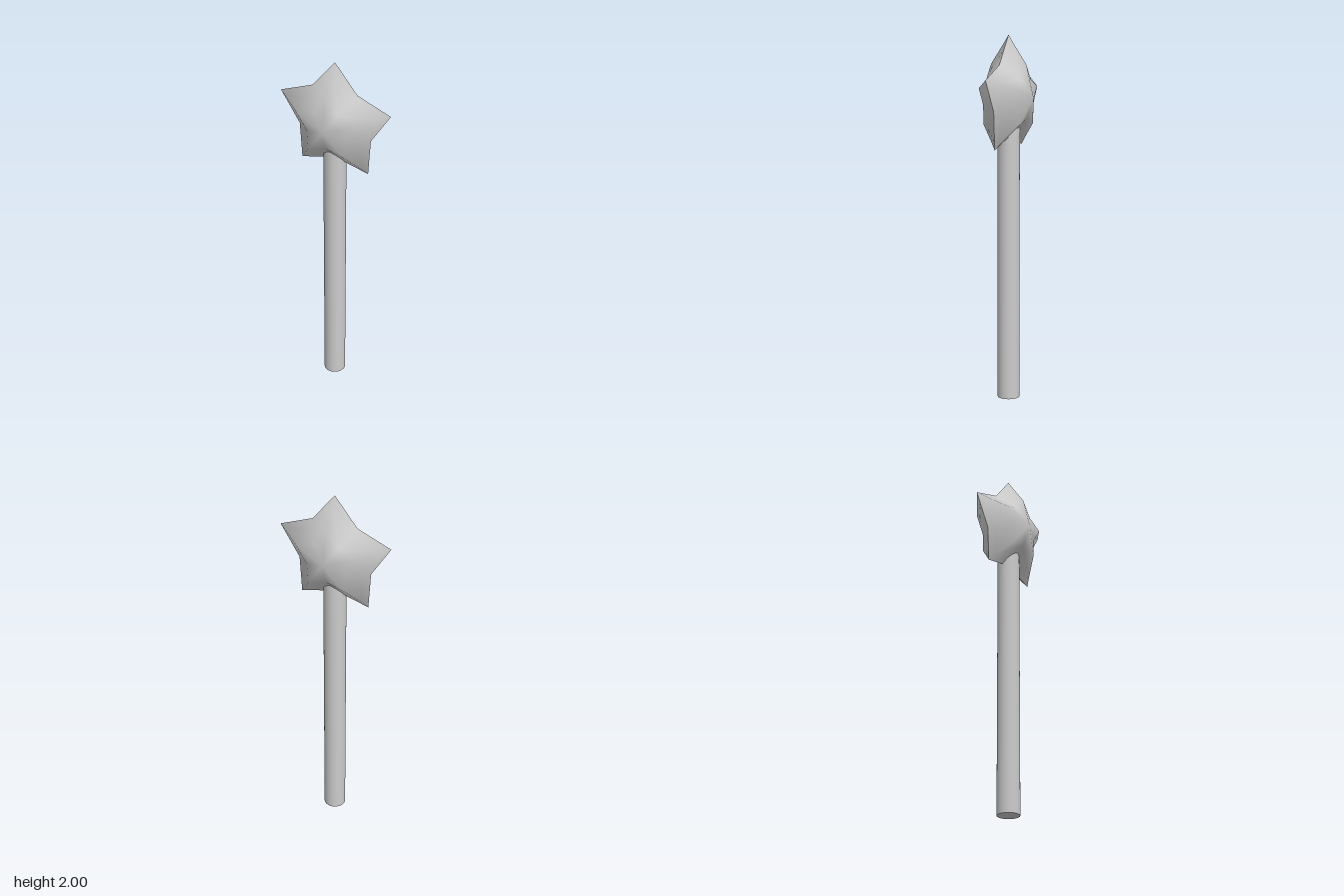
import * as THREE from 'three';

const CENTER_Y = 1.67, OUTER = 0.332, INNER = 0.218;

// One pillowed half of the star: concentric star rings falling from an apex to the rim
function starHalf(side) {
  const rings = [[0.53, 0.102], [0.86, 0.029], [1, 0]]; // [scale, depth]
  const pos = [0, 0, 0.144 * side], index = [];
  for (const [t, z] of rings) {
    for (let i = 0; i < 10; i++) {
      const a = i * Math.PI / 5, r = (i % 2 ? INNER : OUTER) * t;
      pos.push(-Math.sin(a) * r, Math.cos(a) * r, z * side);
    }
  }
  const tri = (a, b, c) => (side > 0 ? index.push(a, b, c) : index.push(a, c, b));
  for (let i = 0; i < 10; i++) {
    const j = (i + 1) % 10;
    tri(0, 1 + i, 1 + j);
    for (let k = 0; k < rings.length - 1; k++) {
      const a = 1 + k * 10 + i, b = 1 + k * 10 + j;
      // diagonals mirror about each arm's ridge
      if (i % 2) { tri(a, a + 10, b + 10); tri(a, b + 10, b); }
      else { tri(a, a + 10, b); tri(b, a + 10, b + 10); }
    }
  }
  const geo = new THREE.BufferGeometry();
  geo.setAttribute('position', new THREE.Float32BufferAttribute(pos, 3));
  geo.setIndex(index);
  geo.computeVertexNormals();
  return geo;
}

export function createModel() {
  const model = new THREE.Group();
  const material = new THREE.MeshStandardMaterial({ color: 0xcccccc });

  // Star head, front and back halves meeting at a sharp rim
  const star = new THREE.Group();
  star.name = 'star';
  star.position.y = CENTER_Y;
  for (const side of [1, -1]) {
    const half = new THREE.Mesh(starHalf(side), material);
    half.name = side > 0 ? 'starFront' : 'starBack';
    star.add(half);
  }
  model.add(star);

  // Rod running up into the star
  const rod = new THREE.Mesh(new THREE.CylinderGeometry(0.061, 0.061, 1.56, 32), material);
  rod.name = 'rod';
  rod.position.y = 0.78;
  model.add(rod);

  return model;
}
